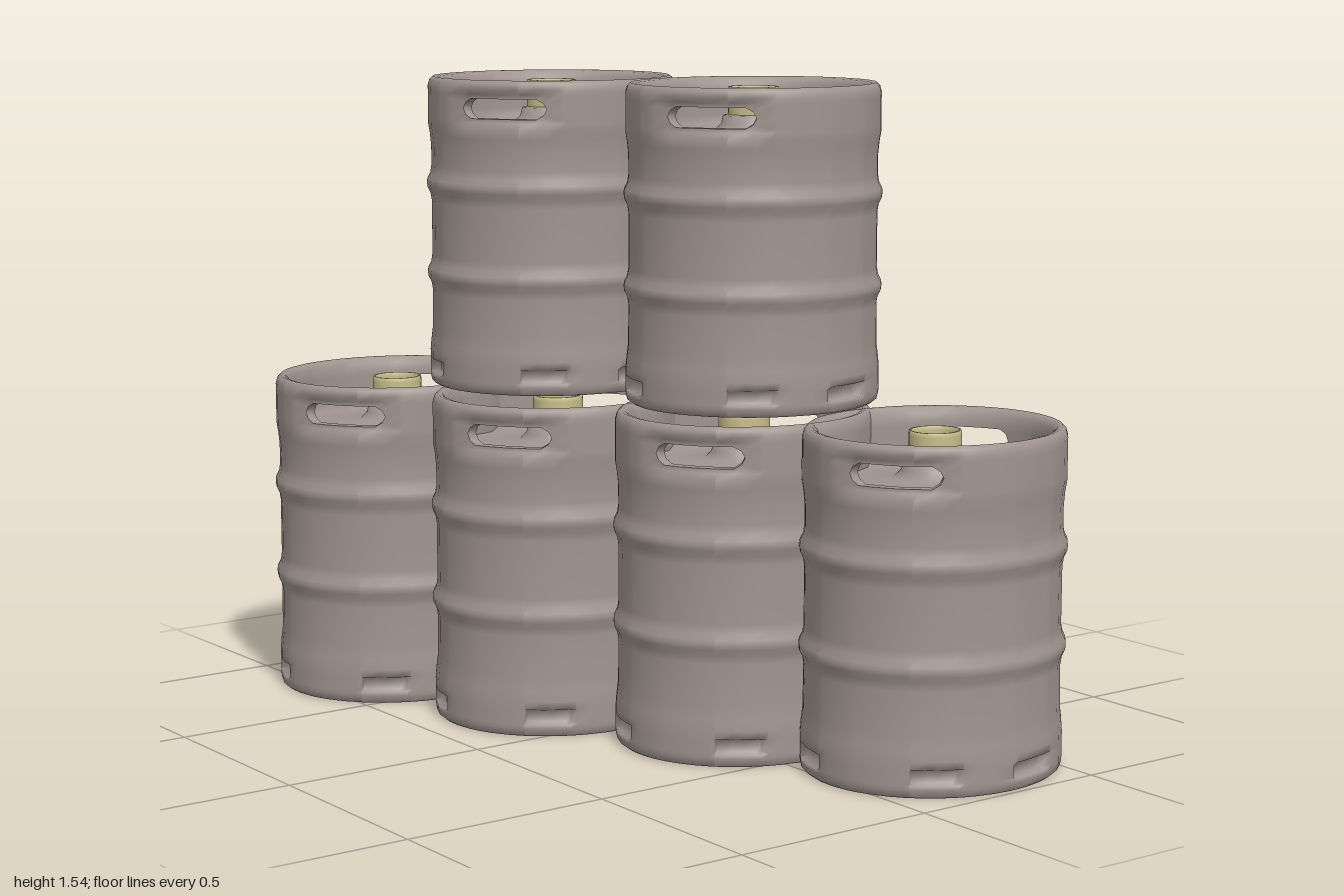
import * as THREE from 'three';

const steel = new THREE.MeshStandardMaterial({ color: 0xa0948f });
steel.name = 'steel grey';
const brass = new THREE.MeshStandardMaterial({ color: 0xc8bd8a });
brass.name = 'pale brass';
const gold = new THREE.MeshStandardMaterial({ color: 0xc08a28 });
gold.name = 'gold';

const HANDLES = [33, 213];                       // angles from +z toward +x
const SLOTS = [-18, 53, 102, 162, 233, 282];
const HOLE = [-22, -17, -9, 0, 9, 17, 22];       // columns across a handle hole
const Y0 = 0.69, YM = 0.715, Y1 = 0.74;          // rows of a handle hole

// Profile [radius, height]: bottom, outer wall with two ribs, rim, inner wall, head
const PROFILE = [
  [0.001, 0.004], [0.93, 0.004], [0.95, 0], [0.975, 0.006], [0.985, 0.02], [0.985, 0.029], [0.985, 0.034], [0.985, 0.06],
  [0.985, 0.066], [0.985, 0.085], [0.978, 0.11], [0.966, 0.14], [0.962, 0.24], [0.972, 0.26], [0.996, 0.275],
  [1, 0.286], [0.996, 0.297], [0.972, 0.312], [0.962, 0.332], [0.962, 0.468], [0.972, 0.488], [0.996, 0.504],
  [1, 0.515], [0.996, 0.526], [0.972, 0.541], [0.962, 0.561], [0.963, 0.61], [0.972, 0.64], [0.985, 0.665],
  [0.985, 0.68], [0.985, Y0], [0.985, YM], [0.985, Y1], [0.985, 0.75], [0.985, 0.763], [0.972, 0.778], [0.945, 0.786],
  [0.905, 0.783], [0.875, 0.77], [0.865, 0.75], [0.865, Y1], [0.865, YM], [0.865, Y0], [0.86, 0.672],
  [0.83, 0.655], [0.5, 0.662], [0.3, 0.668], [0.25, 0.685], [0.235, 0.705], [0.19, 0.708],
];
const OUT = PROFILE.findIndex(p => p[1] === Y0);
const INN = PROFILE.findIndex((p, i) => i > OUT && p[1] === Y0);

const delta = (a, b) => ((a - b + 540) % 360) - 180;

// Column angles: feature edges first, regular steps in between
function columns() {
  const list = [];
  HANDLES.forEach(h => [-28, ...HOLE, 28].forEach(d => list.push(h + d)));
  SLOTS.forEach(s => [-13, -10.5, 10.5, 13].forEach(d => list.push((s + d + 360) % 360)));
  const fixed = [...list];
  for (let a = 0; a < 360; a += 9) {
    if (fixed.every(f => Math.abs(delta(a, f)) > 3)) list.push(a);
  }
  return [...new Set(list)].sort((a, b) => a - b);
}

// Surface point with handle dents, bottom slots and rounded hole corners
function skinPoint(row, angle) {
  let [r, y] = PROFILE[row];
  let a = angle;
  const outer = row < OUT + 6;
  for (const h of HANDLES) {
    const d = delta(angle, h);
    if (Math.abs(d) > 22.1) continue;
    if (outer && y >= 0.68 && y <= 0.75) r -= 0.035;
    if (Math.abs(d) > 21.9 && r > 0.8 && (y === Y0 || y === Y1)) {
      a -= Math.sign(d) * 1.6;
      y += (YM - y) * 0.4;
    }
  }
  if (y > 0.03 && y < 0.063 && SLOTS.some(s => Math.abs(delta(angle, s)) < 10.6)) r -= 0.06;
  const t = a * Math.PI / 180;
  return [r * Math.sin(t), y, r * Math.cos(t)];
}

function kegSkin() {
  const cols = columns(), n = cols.length;
  const pos = [], idx = [];
  PROFILE.forEach((p, i) => cols.forEach(a => pos.push(...skinPoint(i, a))));
  const inHole = (i, j) => {
    const rowHit = i === OUT || i === OUT + 1 || i === INN - 1 || i === INN - 2;
    return rowHit && HANDLES.some(h => cols[j] >= h - 22 && cols[j] < h + 22);
  };
  for (let i = 0; i < PROFILE.length - 1; i++) {
    for (let j = 0; j < n; j++) {
      if (inHole(i, j)) continue;
      const k = (j + 1) % n;
      const a = i * n + j, b = i * n + k, c = (i + 1) * n + k, d = (i + 1) * n + j;
      idx.push(a, b, c, a, c, d);
    }
  }
  // Walls through the thickness of each handle hole
  for (const h of HANDLES) {
    const across = cols.filter(a => a >= h - 22 && a <= h + 22);
    const back = [...across].reverse();
    const loop = [...across.map(a => [0, a]), [1, h + 22], ...back.map(a => [2, a]), [1, h - 22]];
    const start = pos.length / 3, m = loop.length;
    loop.forEach(([s, a]) => pos.push(...skinPoint(OUT + s, a), ...skinPoint(INN - s, a)));
    for (let k = 0; k < m; k++) {
      const p = start + 2 * k, q = start + 2 * ((k + 1) % m);
      idx.push(p, q, q + 1, p, q + 1, p + 1);
    }
  }
  const g = new THREE.BufferGeometry();
  g.setAttribute('position', new THREE.Float32BufferAttribute(pos, 3));
  g.setIndex(idx);
  g.computeVertexNormals();
  return g;
}

export function createModel() {
  const group = new THREE.Group();
  group.name = 'kegStack';

  const skin = kegSkin();
  // Open collar in the middle of the head
  const collar = new THREE.LatheGeometry(
    [[0.2, 0.69], [0.2, 0.765], [0.195, 0.775], [0.18, 0.775], [0.175, 0.765], [0.175, 0.715]]
      .map(p => new THREE.Vector2(...p)), 16);
  const plug = new THREE.CircleGeometry(0.18, 16).rotateX(-Math.PI / 2).translate(0, 0.718, 0);

  function addKeg(name, x, y, z, rx, sy, rz) {
    const keg = new THREE.Group();
    keg.name = name;
    const parts = [['kegBody', skin, steel], ['valveCollar', collar, brass], ['valvePlug', plug, gold]];
    for (const [part, geometry, material] of parts) {
      const mesh = new THREE.Mesh(geometry, material);
      mesh.name = part;
      keg.add(mesh);
    }
    keg.position.set(x, y, z);
    keg.scale.set(rx, sy, rz);
    group.add(keg);
  }

  // Lower row of four, upper row of two slightly smaller kegs
  [[-0.712, 0.27], [-0.215, 0.12], [0.26, -0.08], [0.712, -0.272]]
    .forEach(([x, z], i) => addKeg('lowerKeg' + (i + 1), x, 0, z, 0.287, 1, 0.315));
  [[-0.271, 0.096], [0.264, -0.1]]
    .forEach(([x, z], i) => addKeg('upperKeg' + (i + 1), x, 0.805, z, 0.287, 0.936, 0.306));

  return group;
}
